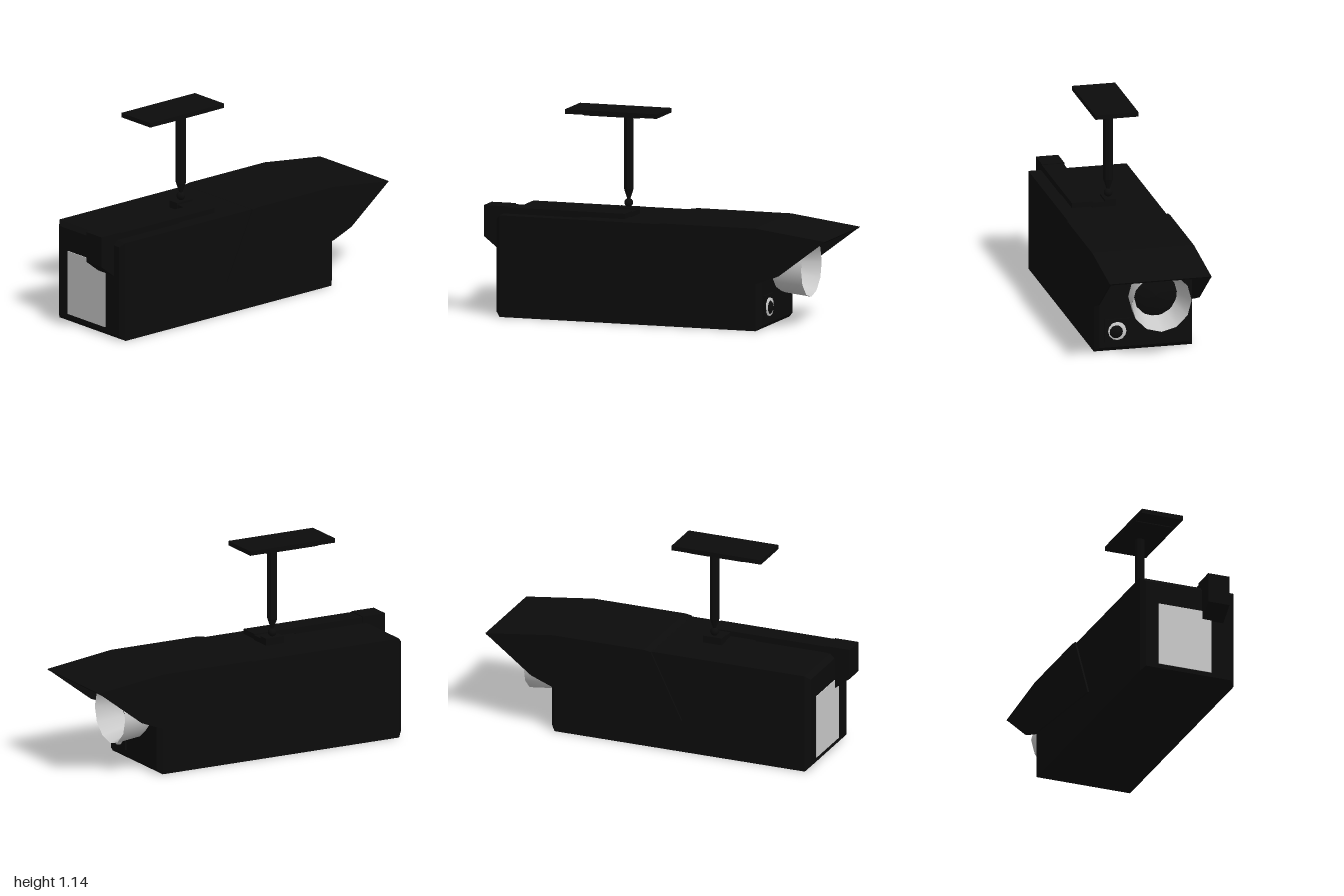
import * as THREE from 'three';

const black = new THREE.MeshStandardMaterial({ color: 0x0c0c0c, flatShading: true });
const blackSmooth = new THREE.MeshStandardMaterial({ color: 0x0c0c0c });
const grey = new THREE.MeshStandardMaterial({ color: 0xcccccc, side: THREE.DoubleSide });

export function createModel() {
  const model = new THREE.Group();

  const add = (name, geometry, material = black, x = 0, y = 0, z = 0) => {
    const mesh = new THREE.Mesh(geometry, material);
    mesh.name = name;
    mesh.position.set(x, y, z);
    model.add(mesh);
    return mesh;
  };

  // Box given by its limits on each axis
  const box = (name, x0, x1, y0, y1, z0, z1, material) => add(name,
    new THREE.BoxGeometry(x1 - x0, y1 - y0, z1 - z0), material,
    (x0 + x1) / 2, (y0 + y1) / 2, (z0 + z1) / 2);

  // Side profile in x and y, extruded from z0 to z1
  const slab = (name, points, z0, z1) => {
    const shape = new THREE.Shape(points.map(p => new THREE.Vector2(...p)));
    return add(name, new THREE.ExtrudeGeometry(shape, { depth: z1 - z0, bevelEnabled: false }), black, 0, 0, z0);
  };

  // Surface turned around the x axis
  const turned = (name, points, material, y, z, phase = 0) => {
    const geometry = new THREE.LatheGeometry(
      points.map(([x, r]) => new THREE.Vector2(r, x)), 12, phase);
    return add(name, geometry.rotateZ(-Math.PI / 2), material, 0, y, z);
  };

  // Housing with chamfered ends
  const c = 0.025;
  const section = new THREE.Shape([
    new THREE.Vector2(-0.275, 0), new THREE.Vector2(0.275, 0),
    new THREE.Vector2(0.275, 0.56), new THREE.Vector2(-0.275, 0.56)]);
  const housing = new THREE.ExtrudeGeometry(section, {
    depth: 1.53 - 2 * c, bevelSize: c, bevelThickness: c, bevelOffset: -c, bevelSegments: 1 });
  add('housing', housing.rotateY(Math.PI / 2), black, -0.91 + c);

  // Sun hood: two cheeks and a folded roof
  const cheek = [[-0.16, 0.185], [0.6, 0.26], [0.73, 0.31], [1, 0.515],
    [0.6, 0.567], [0.06, 0.567], [0.02, 0.555]];
  for (const [name, z] of [['hoodCheekFront', 0.275], ['hoodCheekBack', -0.285]]) {
    slab(name, cheek, z, z + 0.01);
  }
  slab('hoodRoof', [[0.02, 0.553], [0.6, 0.555], [0.99, 0.505], [1, 0.515],
    [0.6, 0.567], [0.06, 0.567], [0.02, 0.561]], -0.285, 0.285);

  // Lens barrel, inner funnel and dark glass
  const lensY = 0.32, lensZ = -0.055;
  turned('lensBarrel', [[0.61, 0.125], [0.655, 0.152], [0.8, 0.168]], grey, lensY, lensZ);
  turned('lensFunnel', [[0.66, 0.122], [0.8, 0.166]], grey, lensY, lensZ);
  turned('lensGlass', [[0.65, 0.124], [0.668, 0.08], [0.675, 0]], 
    new THREE.MeshStandardMaterial({ color: 0x0c0c0c, side: THREE.DoubleSide }),
    lensY, lensZ, Math.PI / 12);

  // Small sensor below the lens
  box('sensorFrame', 0.61, 0.63, 0.055, 0.187, 0.08, 0.22);
  turned('sensorRing', [[0.625, 0.052], [0.64, 0.05], [0.64, 0]], grey, 0.12, 0.153);
  add('sensorEye', new THREE.SphereGeometry(0.05, 16, 10), blackSmooth, 0.607, 0.118, 0.16)
    .scale.set(1, 1, 1);

  // Rear service panel
  box('rearPanel', -0.914, -0.9, 0.05, 0.41, -0.175, 0.135, grey);

  // Cable duct hooked over the rear edge and led along the roof
  slab('ductHook', [[-1, 0.6], [-1, 0.43], [-0.905, 0.355], [-0.88, 0.355], [-0.86, 0.6]], 0.08, 0.205);
  box('ductRearRun', -0.87, -0.44, 0.55, 0.595, 0.085, 0.205);
  box('ductFrontRun', -0.44, -0.185, 0.566, 0.595, 0.085, 0.205);
  box('ductCrossRun', -0.29, -0.185, 0.555, 0.588, 0, 0.09);

  // Ceiling mount
  const mountX = -0.24, mountZ = -0.012;
  box('mountBase', -0.295, -0.185, 0.55, 0.6, -0.043, 0.02);
  add('ballJoint', new THREE.SphereGeometry(0.024, 16, 12), blackSmooth, mountX, 0.623, mountZ);
  add('postTip', new THREE.CylinderGeometry(0.028, 0.008, 0.06, 8), black, mountX, 0.67, mountZ);
  add('post', new THREE.CylinderGeometry(0.028, 0.028, 0.42, 8), black, mountX, 0.91, mountZ);
  box('ceilingPlateLip', -0.46, -0.14, 1.107, 1.115, -0.125, 0.1);
  box('ceilingPlate', -0.565, -0.035, 1.112, 1.137, -0.132, 0.11);

  return model;
}
